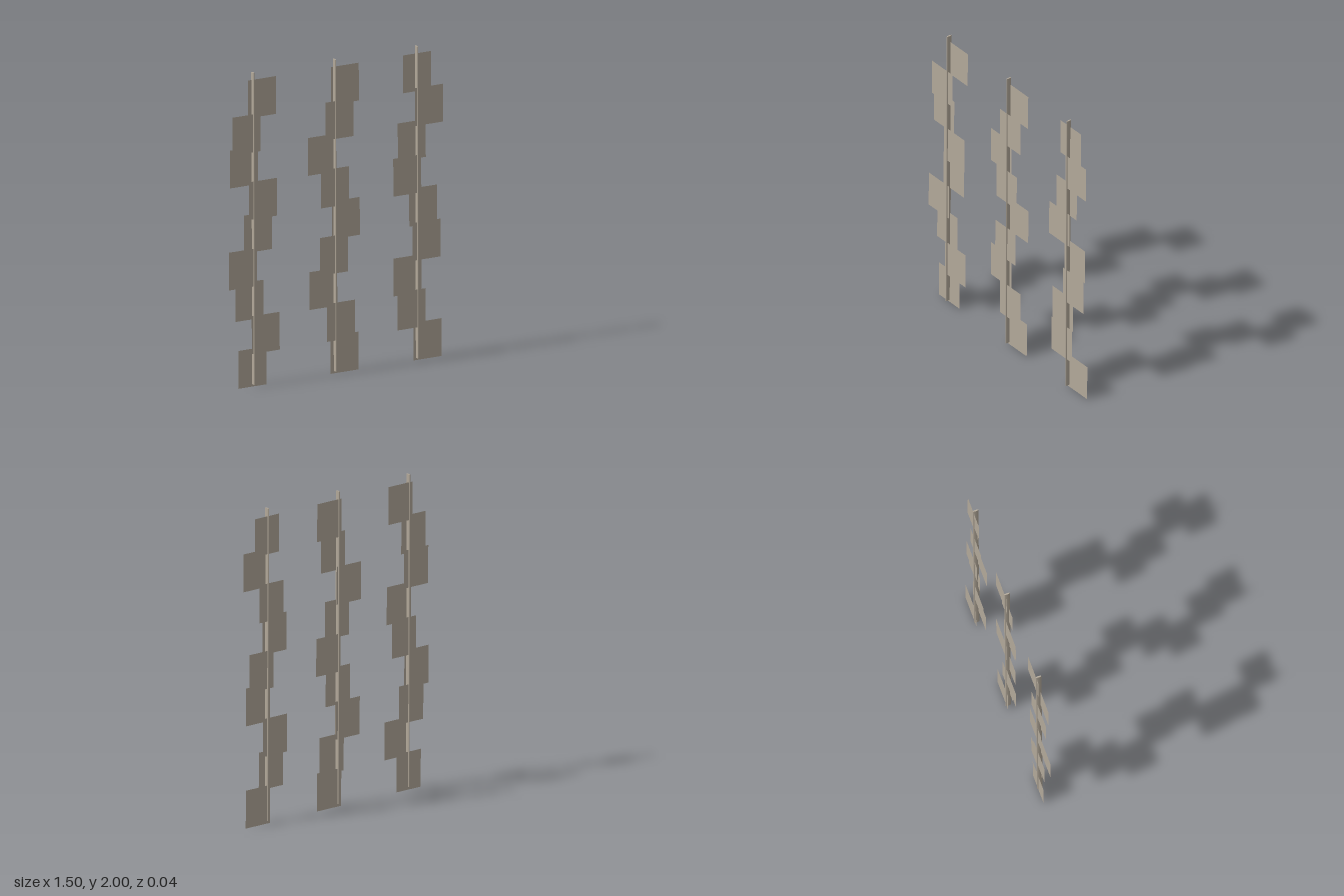
import * as THREE from 'three';

const CARD_W = 0.195, CARD_H = 0.24, TOP_Y = 1.83, STEP = 0.2133;

// Each strand: stem x position and the x centre of its cards, from top to bottom
const STRANDS = [
  { x: -0.573, cards: [-0.503, -0.624, -0.63, -0.508, -0.534, -0.651, -0.593, -0.492, -0.574] },
  { x: -0.003, cards: [0.074, 0.026, -0.085, -0.008, 0.079, -0.016, -0.079, 0.032, 0.069] },
  { x: 0.569, cards: [0.577, 0.651, 0.54, 0.497, 0.619, 0.63, 0.508, 0.524, 0.646] },
];

export function createModel() {
  const model = new THREE.Group();
  model.name = 'hangingCardStrands';
  const taupe = new THREE.MeshStandardMaterial({ color: 0xb3a99a, side: THREE.DoubleSide });
  taupe.name = 'taupe';

  // Thin flattened stem and square-cut card
  const stemGeometry = new THREE.CylinderGeometry(1, 1, 1.98, 8).scale(0.005, 1, 0.0185);
  const cardGeometry = new THREE.PlaneGeometry(CARD_W, CARD_H);

  STRANDS.forEach(({ x, cards }, s) => {
    const strand = new THREE.Group();
    strand.name = `strand${s + 1}`;

    const stem = new THREE.Mesh(stemGeometry, taupe);
    stem.name = 'stem';
    stem.position.set(x, 0.01, 0);
    strand.add(stem);

    // Cards alternate between the back and the front of the stem
    cards.forEach((cx, i) => {
      const card = new THREE.Mesh(cardGeometry, taupe);
      card.name = `card${i + 1}`;
      card.position.set(cx, TOP_Y - i * STEP - 1, i % 2 ? 0.01 : -0.01);
      strand.add(card);
    });

    // Strands lean back very slightly
    strand.position.set(0, 1, 0.002);
    strand.rotation.x = -0.004;
    model.add(strand);
  });
  return model;
}
